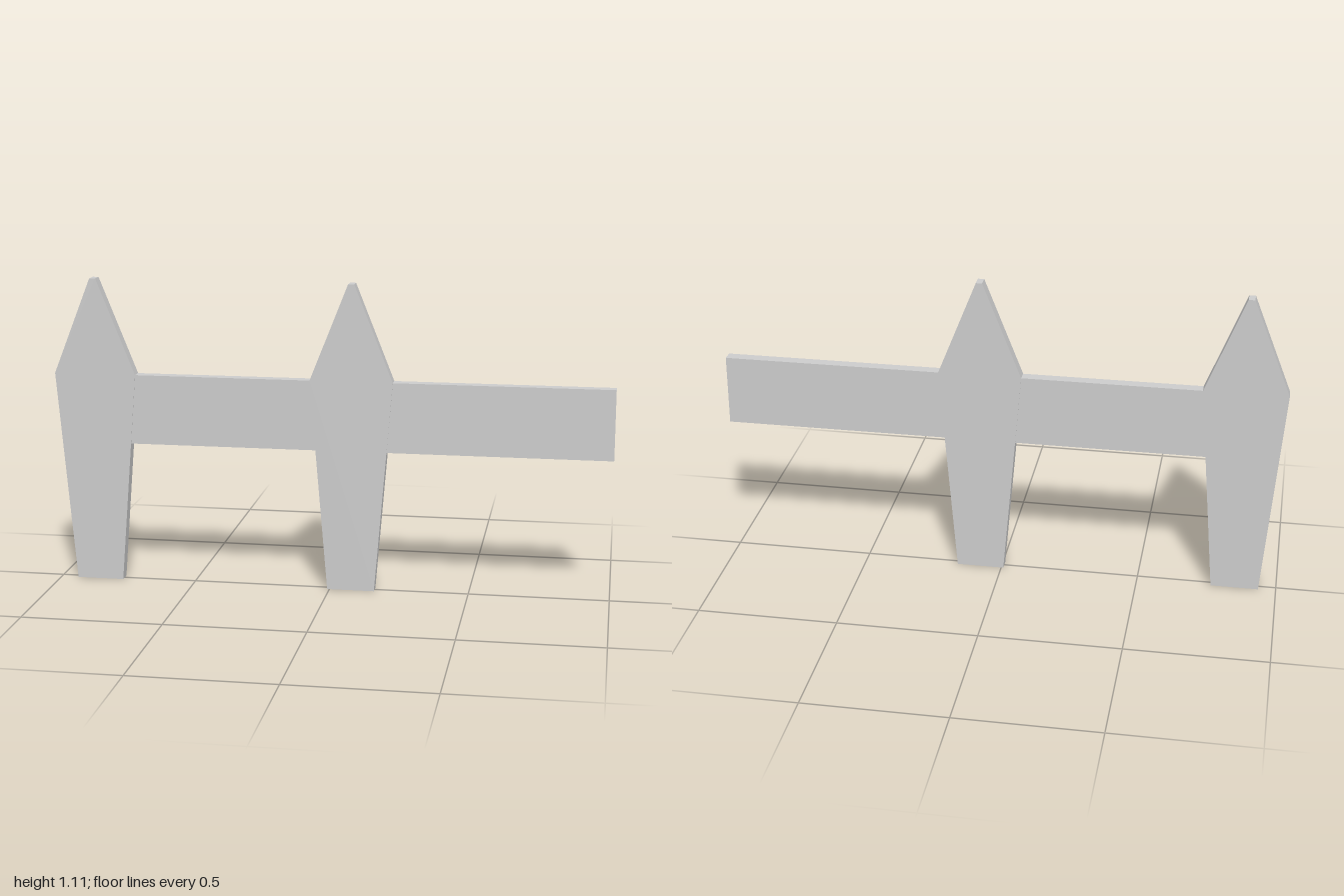
import * as THREE from 'three';

const material = new THREE.MeshStandardMaterial({ color: 0xcccccc, flatShading: true });

// Tapered post with a pointed, slightly blunted head: [half width, height]
const PROFILE = [[0.085, 0], [0.148, 0.765], [0.011, 1.11]];
const POST_DEPTH = 0.044;
const POST_X = [-0.852, 0.077];

// Rail runs from post to post and out to the open end
const RAIL_BOTTOM = 0.513, RAIL_TOP = 0.765, RAIL_DEPTH = 0.04, RAIL_END = 1;

function createPostGeometry() {
  const right = PROFILE.map(([x, y]) => new THREE.Vector2(x, y));
  const left = PROFILE.map(([x, y]) => new THREE.Vector2(-x, y)).reverse();
  const geometry = new THREE.ExtrudeGeometry(new THREE.Shape([...right, ...left]), {
    depth: POST_DEPTH, bevelEnabled: false,
  });
  return geometry.translate(0, 0, -POST_DEPTH / 2);
}

export function createModel() {
  const fence = new THREE.Group();
  fence.name = 'fence';
  const postGeometry = createPostGeometry();

  POST_X.forEach((x, i) => {
    const post = new THREE.Mesh(postGeometry, material);
    post.name = `post${i + 1}`;
    post.position.x = x;

    // Rail section from this post's centre to the next post or the open end
    const end = POST_X[i + 1] ?? RAIL_END;
    const rail = new THREE.Mesh(
      new THREE.BoxGeometry(end - x, RAIL_TOP - RAIL_BOTTOM, RAIL_DEPTH), material);
    rail.name = `rail${i + 1}`;
    rail.position.set((x + end) / 2, (RAIL_TOP + RAIL_BOTTOM) / 2, 0);

    fence.add(post, rail);
  });
  return fence;
}
